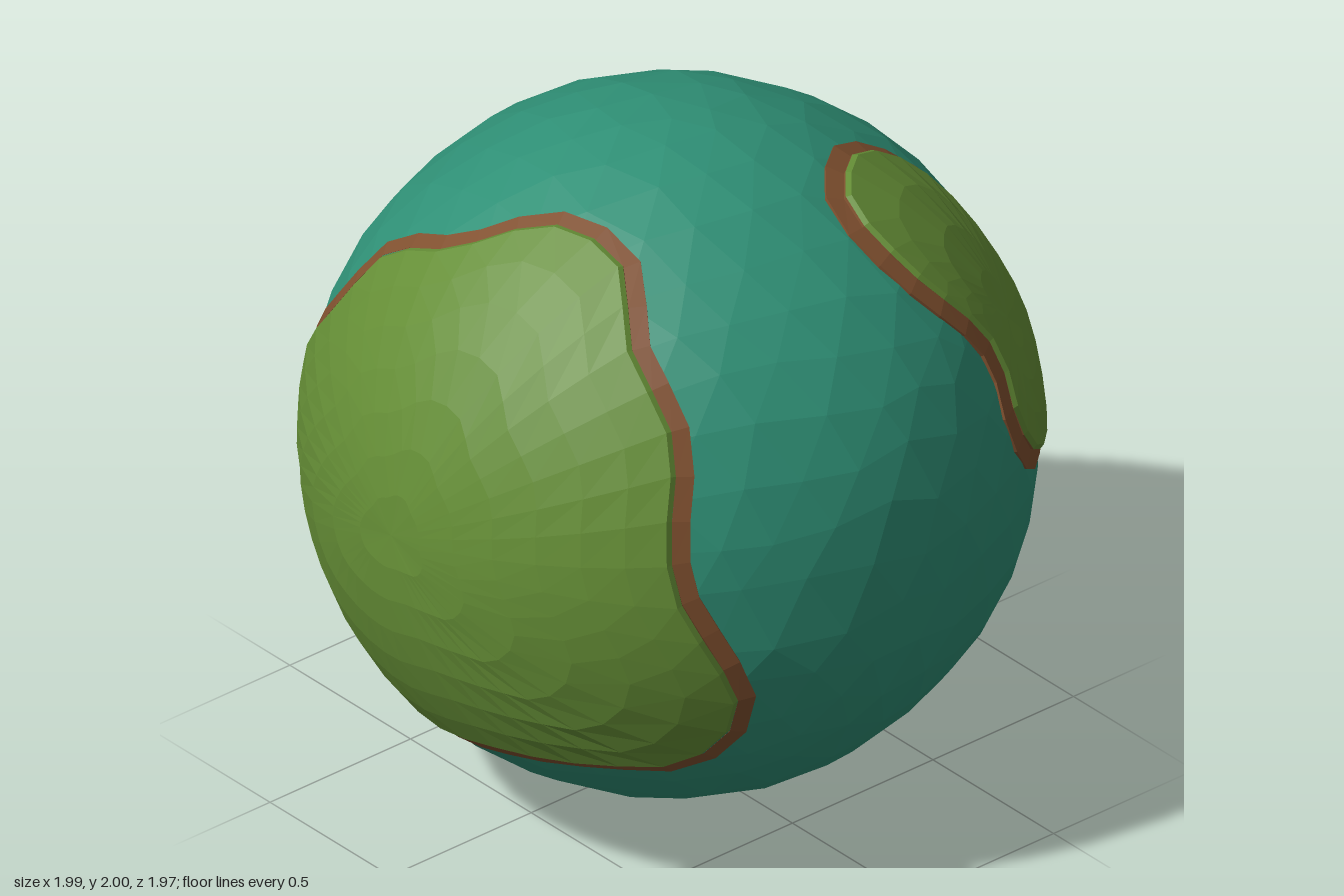
import * as THREE from 'three';
import { mergeVertices } from 'three/addons/utils/BufferGeometryUtils.js';

const V = (x, y, z) => new THREE.Vector3(x, y, z);
const mat = (color) => new THREE.MeshStandardMaterial({ color, flatShading: true });
const sea = mat(0x2f9076), grass = mat(0x658e36), soil = mat(0x80502f);

// The twelve corners of an icosahedron standing on a corner
const corners = [V(0, 1, 0), V(0, -1, 0)];
for (let i = 0; i < 5; i++) {
  const a = (i * Math.PI * 2) / 5;
  const p = V(0.894 * Math.cos(a), 0.447, 0.894 * Math.sin(a));
  corners.push(p, p.clone().negate());
}

// Sea radius: full at the corners, slightly flattened between them
function seaRadius(d) {
  const near = Math.max(...corners.map((c) => c.dot(d)));
  return 0.981 + 0.019 * Math.max(0, (near - 0.8) / 0.2);
}

function makeSea() {
  let g = new THREE.IcosahedronGeometry(1, 6);
  g.deleteAttribute('uv');
  g.deleteAttribute('normal');
  g = mergeVertices(g, 1e-4);
  // Turn one corner to the top and another towards +x
  const t = (1 + Math.sqrt(5)) / 2;
  const top = V(0, 1, t).normalize(), side = V(0, -1, t).normalize();
  const sideAxis = side.addScaledVector(top, -side.dot(top)).normalize();
  const m = new THREE.Matrix4().makeBasis(sideAxis, top, sideAxis.clone().cross(top)).transpose();
  g.applyMatrix4(m);
  // Uneven facets
  const pos = g.attributes.position, p = V();
  for (let i = 0; i < pos.count; i++) {
    p.fromBufferAttribute(pos, i).normalize();
    if (!corners.some((c) => c.dot(p) > 0.999)) {
      const { x, y, z } = p;
      p.add(V(Math.sin(37 * y + 23 * z), Math.sin(41 * z + 19 * x), Math.sin(31 * x + 29 * y)).multiplyScalar(0.022)).normalize();
    }
    p.multiplyScalar(seaRadius(p));
    pos.setXYZ(i, p.x, p.y, p.z);
  }
  g.computeVertexNormals();
  return g;
}

// Surface through closed rings of points, listed from outside to inside
function skin(rings) {
  const n = rings[0].length, index = [];
  for (let r = 0; r < rings.length - 1; r++) {
    for (let i = 0; i < n; i++) {
      const j = (i + 1) % n, a = r * n + i, b = r * n + j;
      index.push(a, b, a + n, b, b + n, a + n);
    }
  }
  const g = new THREE.BufferGeometry().setFromPoints(rings.flat());
  g.setIndex(index);
  g.computeVertexNormals();
  return g;
}

function makeLand(name, centre, outline, samples, border, ringCount) {
  const c = V(...centre).normalize();
  const curve = new THREE.CatmullRomCurve3(outline.map((p) => V(...p).normalize()), true);
  const shore = curve.getSpacedPoints(samples).slice(0, samples).map((p) => p.normalize());
  const turn = shore.reduce((s, p, i) => s + p.clone().cross(shore[(i + 1) % samples]).dot(c), 0);
  if (turn < 0) shore.reverse();

  // Shift the shore outwards (or inwards when negative) along the sphere
  const shift = (dist) => shore.map((p, i) => {
    const along = shore[(i + 1) % samples].clone().sub(shore[(i + samples - 1) % samples]);
    return p.clone().addScaledVector(along.cross(p).normalize(), dist).normalize();
  });
  const lift = (dirs, f) => dirs.map((d) => d.clone().multiplyScalar(f(d)));
  const group = new THREE.Group();
  group.name = name;

  // Soil border with a low bank up to the grass
  const outer = shift(border);
  const bank = new THREE.Mesh(skin([
    lift(outer, () => 0.965),
    lift(outer, (d) => seaRadius(d) + 0.005),
    lift(shore, (d) => seaRadius(d) + 0.009),
    lift(shore, () => 1.006),
  ]), soil);
  bank.name = name + 'Bank';

  // Grass cap with a bevelled edge
  const edge = shift(-0.014);
  const rings = [lift(shore, () => 1.004), lift(edge, () => 1.015)];
  for (let k = 1; k <= ringCount; k++) {
    const t = 1 - k / ringCount;
    rings.push(edge.map((p) => c.clone().lerp(p, t).normalize().multiplyScalar(1.003 + 0.012 * Math.sqrt(t))));
  }
  const cap = new THREE.Mesh(skin(rings), grass);
  cap.name = name + 'Grass';
  group.add(bank, cap);
  return group;
}

export function createModel() {
  const model = new THREE.Group();
  model.name = 'planet';
  const ocean = new THREE.Mesh(makeSea(), sea);
  ocean.name = 'ocean';
  model.add(ocean);

  // Large continent on the right side
  model.add(makeLand('continent', [-1, 0.08, 0], [
    [-0.46, 0.87, 0.07], [-0.43, 0.84, 0.3], [-0.53, 0.7, 0.45], [-0.55, 0.5, 0.65],
    [-0.63, 0.22, 0.73], [-0.62, 0.08, 0.76], [-0.55, -0.1, 0.82], [-0.48, -0.25, 0.83],
    [-0.48, -0.4, 0.77], [-0.55, -0.51, 0.65], [-0.67, -0.53, 0.5], [-0.78, -0.56, 0.2],
    [-0.76, -0.63, -0.08], [-0.64, -0.59, -0.47], [-0.52, -0.5, -0.68], [-0.48, -0.34, -0.8],
    [-0.49, -0.17, -0.84], [-0.63, 0.14, -0.75], [-0.71, 0.45, -0.53], [-0.64, 0.63, -0.41],
    [-0.62, 0.75, -0.17],
  ], 44, 0.05, 7));

  // Waisted island at the front left
  model.add(makeLand('island', [0.63, 0.42, 0.65], [
    [0.55, 0.78, 0.28], [0.4, 0.86, 0.29], [0.28, 0.87, 0.38], [0.22, 0.85, 0.47],
    [0.23, 0.78, 0.56], [0.3, 0.67, 0.67], [0.45, 0.49, 0.74], [0.49, 0.4, 0.76],
    [0.5, 0.25, 0.82], [0.56, 0.12, 0.81], [0.65, 0.04, 0.75], [0.73, 0.02, 0.67],
    [0.81, 0.05, 0.57], [0.84, 0.15, 0.5], [0.82, 0.28, 0.48], [0.75, 0.46, 0.45],
    [0.65, 0.67, 0.33],
  ], 26, 0.055, 4));

  // Small islet on the left side
  model.add(makeLand('islet', [0.88, -0.25, -0.37], [
    [0.88, -0.01, -0.44], [0.84, -0.04, -0.52], [0.84, -0.2, -0.49], [0.75, -0.4, -0.51],
    [0.75, -0.48, -0.43], [0.82, -0.46, -0.3], [0.89, -0.37, -0.22], [0.92, -0.28, -0.21],
    [0.93, -0.1, -0.3], [0.92, -0.04, -0.36],
  ], 14, 0.05, 2));

  model.children.forEach((part) => { part.position.y = 1; });
  return model;
}
